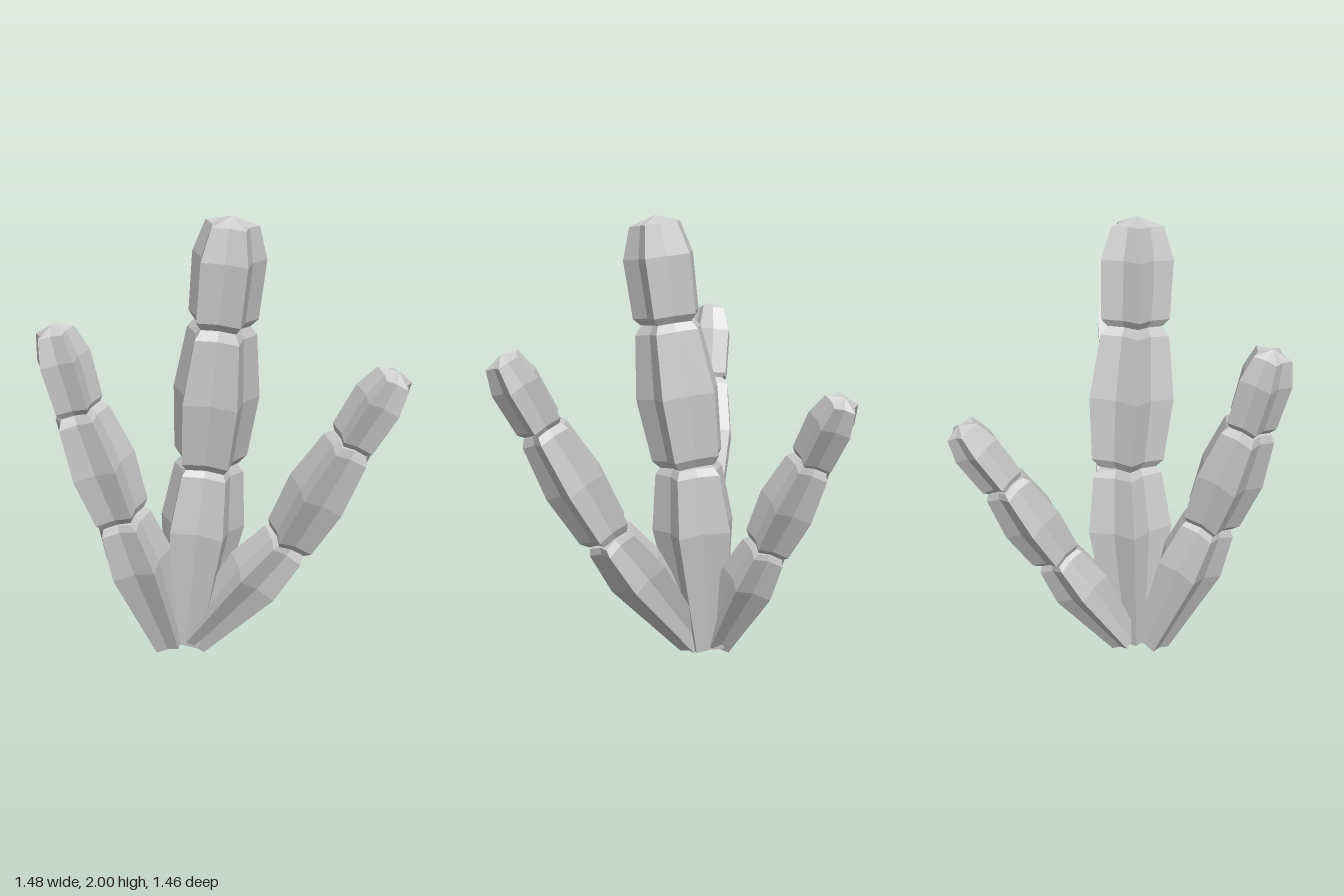
import * as THREE from 'three';

const RIBS = 5;
const GROOVE = 0.68; // groove radius relative to rib radius

// Profiles as [height fraction, radius fraction], from bottom to top
const PROFILES = [
  [[0, 0], [0, 0.55], [0.66, 1], [0.96, 0.82], [1, 0.68], [1, 0]],
  [[0, 0], [0, 0.68], [0.06, 0.86], [0.5, 1], [0.94, 0.8], [1, 0.64], [1, 0]],
  [[0, 0], [0, 0.76], [0.07, 0.95], [0.62, 1], [0.92, 0.72], [1, 0]],
];

// Each stalk: joints from the root to the tip, rib radius of each segment, turn about its axis
const STALKS = [
  { name: 'mainStalk', spin: 0, radii: [0.2, 0.2, 0.168],
    joints: [[-0.08, 0.03, 0.05], [0.01, 0.89, 0.085], [0.05, 1.53, 0.17], [0.085, 2.0, 0.22]] },
  { name: 'rightStalk', spin: 0, radii: [0.16, 0.16, 0.122],
    joints: [[-0.17, 0.04, 0.08], [-0.4, 0.71, 0.2], [-0.575, 1.21, 0.24], [-0.675, 1.58, 0.26]] },
  { name: 'leftStalk', spin: -0.2, radii: [0.15, 0.15, 0.118],
    joints: [[-0.05, 0.05, 0.09], [0.325, 0.605, 0.345], [0.53, 1.1, 0.55], [0.68, 1.42, 0.665]] },
  { name: 'backStalk', spin: 0.1, radii: [0.14, 0.14, 0.11],
    joints: [[-0.09, 0.05, -0.01], [0.05, 0.555, -0.3], [0.13, 0.96, -0.525], [0.22, 1.25, -0.69]] },
];

// Ribbed segment: a lathe whose every other column is pulled in to form a groove
function segmentGeometry(profile, radius, height, spin) {
  const points = profile.map(([t, r]) => new THREE.Vector2(r * radius, t * height));
  const geometry = new THREE.LatheGeometry(points, RIBS * 2, Math.PI / 2 - spin);
  const pos = geometry.attributes.position;
  for (let i = 0; i < pos.count; i++) {
    const column = Math.floor(i / points.length);
    if (column % 2) pos.setXYZ(i, pos.getX(i) * GROOVE, pos.getY(i), pos.getZ(i) * GROOVE);
  }
  geometry.computeVertexNormals();
  return geometry;
}

export function createModel() {
  const cactus = new THREE.Group();
  cactus.name = 'cactus';
  const material = new THREE.MeshStandardMaterial({ color: 0xcccccc, flatShading: true });
  const up = new THREE.Vector3(0, 1, 0);
  const segmentNames = ['lowerSegment', 'middleSegment', 'tipSegment'];

  for (const { name, spin, radii, joints } of STALKS) {
    const stalk = new THREE.Group();
    stalk.name = name;
    radii.forEach((radius, i) => {
      const start = new THREE.Vector3(...joints[i]);
      const axis = new THREE.Vector3(...joints[i + 1]).sub(start);
      const mesh = new THREE.Mesh(segmentGeometry(PROFILES[i], radius, axis.length(), spin), material);
      mesh.name = segmentNames[i];
      mesh.position.copy(start);
      mesh.quaternion.setFromUnitVectors(up, axis.normalize());
      stalk.add(mesh);
    });
    cactus.add(stalk);
  }
  return cactus;
}
